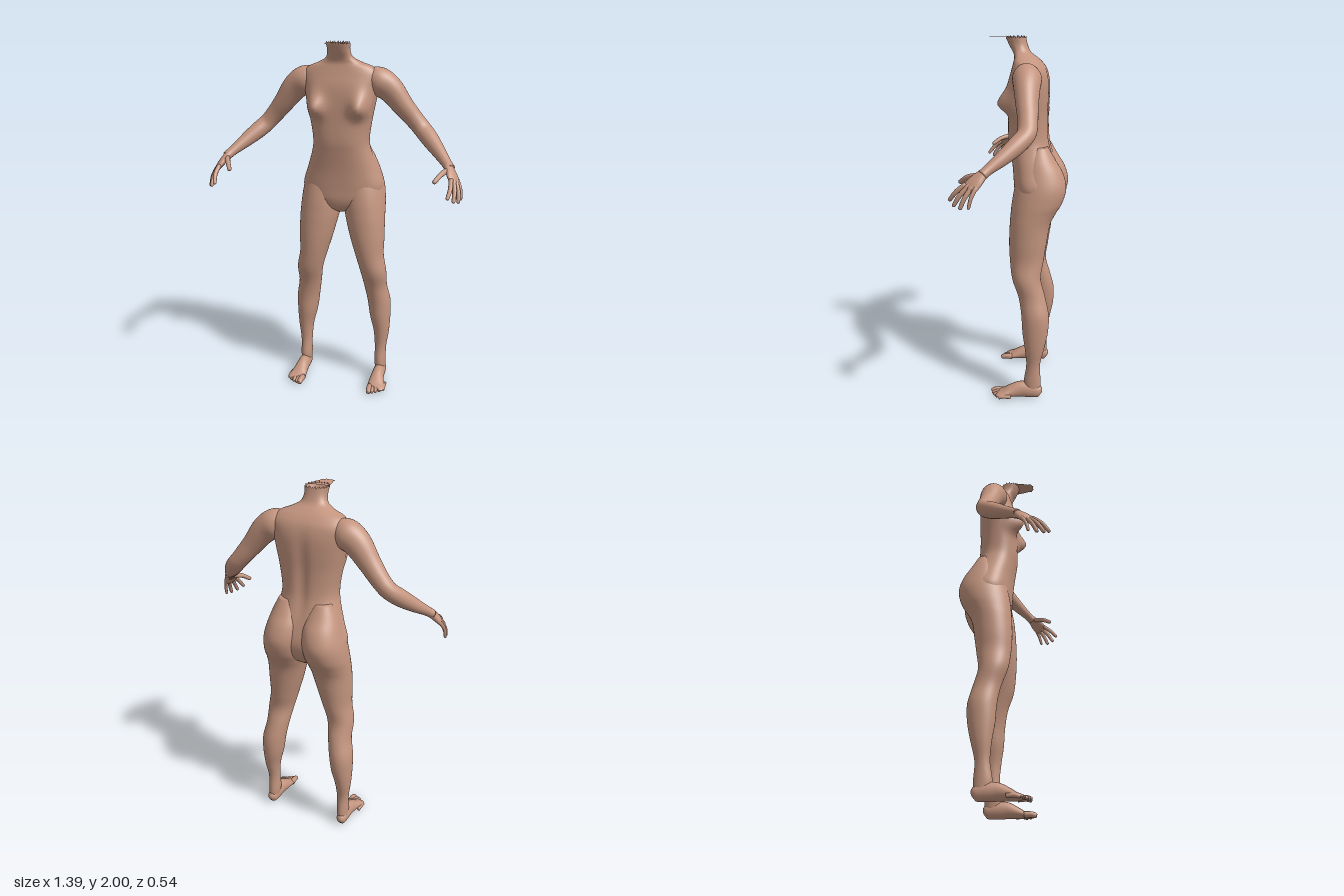
import * as THREE from 'three';

const skin = new THREE.MeshStandardMaterial({ color: 0xc4957f, side: THREE.DoubleSide });
skin.name = 'skin';

const V = (x, y, z) => new THREE.Vector3(x, y, z);

// Catmull-Rom interpolation of whole station rows
function refine(rows, sub) {
  const out = [];
  const at = i => rows[Math.max(0, Math.min(rows.length - 1, i))];
  for (let i = 0; i < rows.length - 1; i++) {
    for (let k = 0; k < sub; k++) {
      const t = k / sub;
      out.push(rows[i].map((b, c) => {
        const a = at(i - 1)[c], d = at(i + 1)[c], e = at(i + 2)[c];
        return b + 0.5 * t * (d - a + t * (2 * a - 5 * b + 4 * d - e + t * (3 * (b - d) + e - a)));
      }));
    }
  }
  out.push(rows[rows.length - 1]);
  return out;
}

// Smooth skin over closed rings of points, with optional end caps
function skinRings(rings, capStart = true, capEnd = true) {
  const n = rings[0].length, pos = [], idx = [];
  rings.forEach(r => r.forEach(p => pos.push(p.x, p.y, p.z)));
  for (let i = 0; i < rings.length - 1; i++) {
    for (let j = 0; j < n; j++) {
      const a = i * n + j, b = i * n + (j + 1) % n, c = a + n, d = b + n;
      idx.push(a, c, b, b, c, d);
    }
  }
  const cap = (row, flip) => {
    const m = rings[row].reduce((s, p) => s.add(p), V(0, 0, 0)).divideScalar(n);
    const k = pos.length / 3;
    pos.push(m.x, m.y, m.z);
    for (let j = 0; j < n; j++) {
      const a = row * n + j, b = row * n + (j + 1) % n;
      idx.push(k, flip ? a : b, flip ? b : a);
    }
  };
  if (capStart) cap(0, true);
  if (capEnd) cap(rings.length - 1, false);
  const g = new THREE.BufferGeometry();
  g.setAttribute('position', new THREE.Float32BufferAttribute(pos, 3));
  g.setIndex(idx);
  g.computeVertexNormals();
  return g;
}

// Upright loft; rows are [y, centreX, halfWidth, zFront, zBack], bottom to top
function upright(rows, seg, power, shape, capEnd = true) {
  const soft = v => Math.sign(v) * Math.pow(Math.abs(v), 2 / power);
  const rings = refine(rows, 5).map(([y, cx, rx, zf, zb], i, all) =>
    Array.from({ length: seg }, (_, j) => {
      const t = j / seg * Math.PI * 2;
      const p = V(cx + rx * soft(Math.cos(t)), y, (zf + zb) / 2 + (zf - zb) / 2 * soft(Math.sin(t)));
      if (shape) shape(p, j, i === all.length - 1);
      return p;
    }));
  return skinRings(rings, true, capEnd);
}

// Limb along a path; rows are [x, y, z, radiusAlongRef, radiusAcross]
function limb(rows, ref, seg = 24, sub = 5) {
  const pts = refine(rows, sub);
  const rings = pts.map(([x, y, z, ru, rv], i) => {
    const a = pts[Math.max(0, i - 1)], b = pts[Math.min(pts.length - 1, i + 1)];
    const T = V(b[0] - a[0], b[1] - a[1], b[2] - a[2]).normalize();
    const U = ref.clone().addScaledVector(T, -ref.dot(T)).normalize();
    const W = U.clone().cross(T);
    return Array.from({ length: seg }, (_, j) => {
      const t = j / seg * Math.PI * 2;
      return V(x, y, z).addScaledVector(U, ru * Math.cos(t)).addScaledVector(W, rv * Math.sin(t));
    });
  });
  return skinRings(rings);
}

// Finger or toe with a rounded tip, through a knuckle bend
function digit(from, bend, to, r, ref) {
  const near = bend.clone().lerp(to, 0.8);
  const row = (p, k) => [p.x, p.y, p.z, r * k, r * k];
  return limb([row(from, 1.1), row(bend, 1), row(near, 0.85), row(bend.clone().lerp(to, 0.95), 0.6), row(to, 0.12)], ref, 12, 3);
}

function mirrored(geo) {
  const g = geo.clone().scale(-1, 1, 1);
  const a = g.index.array;
  for (let i = 0; i < a.length; i += 3) [a[i], a[i + 1]] = [a[i + 1], a[i]];
  g.computeVertexNormals();
  return g;
}

export function createModel() {
  const model = new THREE.Group();
  model.name = 'bodyMannequin';
  const add = (name, geo) => {
    const m = new THREE.Mesh(geo, skin);
    m.name = name;
    model.add(m);
  };
  const pair = (name, geo) => {
    add(name + 'Left', geo);
    add(name + 'Right', mirrored(geo));
  };

  // Torso and neck, with chest relief, spine groove and a ragged open rim
  add('torso', upright([
    [1.05, 0, 0.03, -0.04, -0.14], [1.08, 0, 0.1, 0, -0.18], [1.13, 0, 0.19, 0.018, -0.215],
    [1.2, 0, 0.23, 0.022, -0.23], [1.3, 0, 0.2, 0.03, -0.21], [1.4, 0, 0.167, 0.045, -0.18],
    [1.47, 0, 0.157, 0.055, -0.167], [1.58, 0, 0.172, 0.055, -0.163], [1.68, 0, 0.192, 0.055, -0.167],
    [1.76, 0, 0.208, 0.05, -0.165], [1.82, 0, 0.213, 0.035, -0.15], [1.86, 0, 0.18, 0.025, -0.122],
    [1.885, 0, 0.12, 0.022, -0.095], [1.91, 0, 0.075, 0.03, -0.065], [1.945, 0, 0.061, 0.05, -0.048],
    [1.985, 0, 0.064, 0.068, -0.038],
  ], 72, 2.35, (p, j, rim) => {
    const ax = Math.abs(p.x), front = p.z > -0.02;
    if (front) {
      const dy = p.y - 1.645;
      p.z += 0.066 * Math.exp(-Math.pow((ax - 0.125) / 0.05, 2) - Math.pow(dy / (dy < 0 ? 0.045 : 0.075), 2));
    } else if (p.y > 1.25 && p.y < 1.85) {
      p.z += 0.014 * Math.exp(-Math.pow(ax / 0.03, 2)) * Math.sin((p.y - 1.25) / 0.6 * Math.PI);
    }
    if (rim) p.y += [0.012, 0, 0.006, -0.004][j % 4];
  }, false));

  // Ragged flap in front of the neck opening
  const flap = new THREE.Shape();
  const edge = [[-0.062, 0.03], [-0.05, 0.08], [-0.046, 0.1], [-0.038, 0.125], [-0.04, 0.145], [-0.025, 0.15], [-0.018, 0.16], [0, 0.155]];
  edge.forEach(([x, z], i) => (i ? flap.lineTo(x, -z) : flap.moveTo(x, -z)));
  edge.slice(0, -1).reverse().forEach(([x, z]) => flap.lineTo(-x, -z));
  add('neckFlap', new THREE.ShapeGeometry(flap).rotateX(-Math.PI / 2).translate(0, 1.987, 0));

  // Legs, rising into the hips and buttocks
  pair('leg', upright([
    [0.04, 0.236, 0.028, -0.07, -0.148], [0.1, 0.233, 0.033, -0.055, -0.15], [0.2, 0.233, 0.034, -0.068, -0.145],
    [0.3, 0.235, 0.045, -0.06, -0.167], [0.4, 0.226, 0.06, -0.045, -0.187], [0.5, 0.218, 0.067, -0.038, -0.19],
    [0.6, 0.2, 0.066, -0.02, -0.167], [0.7, 0.19, 0.075, 0.015, -0.142], [0.8, 0.167, 0.081, 0.03, -0.155],
    [0.9, 0.152, 0.097, 0.036, -0.17], [1, 0.138, 0.11, 0.034, -0.187], [1.06, 0.13, 0.116, 0.03, -0.215],
    [1.12, 0.123, 0.12, 0.024, -0.25], [1.2, 0.115, 0.117, 0.01, -0.27], [1.28, 0.105, 0.105, -0.01, -0.25],
    [1.35, 0.1, 0.085, -0.04, -0.208], [1.42, 0.1, 0.05, -0.08, -0.168],
  ], 40, 2.05));

  // Feet and toes
  const X = V(1, 0, 0);
  pair('foot', limb([
    [0.237, 0.035, -0.156, 0.008, 0.01], [0.237, 0.04, -0.14, 0.027, 0.036], [0.236, 0.047, -0.09, 0.034, 0.045],
    [0.236, 0.048, -0.035, 0.036, 0.046], [0.238, 0.035, 0.02, 0.043, 0.033], [0.242, 0.025, 0.055, 0.05, 0.022],
    [0.245, 0.02, 0.08, 0.05, 0.015], [0.243, 0.018, 0.095, 0.036, 0.008],
  ], X, 28));
  [0.135, 0.13, 0.12, 0.105, 0.085].forEach((tip, i) => {
    const x = 0.208 + 0.0195 * i, r = i ? 0.0105 : 0.016;
    pair('toe' + (i + 1), digit(V(x, 0.02, tip - 0.07), V(x + 0.002, 0.021, tip - 0.03), V(x + 0.004, 0.012, tip), r, X));
  });

  // Arms from inside the shoulder to the wrist
  pair('arm', limb([
    [0.14, 1.79, -0.062, 0.06, 0.05], [0.2, 1.785, -0.064, 0.078, 0.075], [0.265, 1.745, -0.07, 0.072, 0.067],
    [0.335, 1.66, -0.078, 0.058, 0.056], [0.395, 1.59, -0.088, 0.05, 0.05], [0.445, 1.535, -0.083, 0.046, 0.05],
    [0.495, 1.488, -0.04, 0.045, 0.046], [0.55, 1.437, 0.02, 0.036, 0.036], [0.595, 1.395, 0.075, 0.026, 0.028],
    [0.62, 1.37, 0.105, 0.024, 0.028],
  ], V(0, 1, 0.3), 32));

  // Hands: flattened palm, four fingers and thumb
  const across = V(-0.45, 0.15, 0.85).normalize();
  pair('palm', limb([
    [0.6, 1.392, 0.08, 0.024, 0.022], [0.618, 1.368, 0.108, 0.03, 0.021], [0.635, 1.342, 0.134, 0.04, 0.019],
    [0.648, 1.318, 0.156, 0.041, 0.015], [0.654, 1.304, 0.167, 0.03, 0.008],
  ], across, 24));
  [[0.628, 1.245, 0.265], [0.658, 1.224, 0.24], [0.68, 1.215, 0.205], [0.688, 1.22, 0.162]].forEach((tip, i) => {
    const base = V(0.648, 1.325, 0.152).addScaledVector(across, 0.03 - 0.02 * i);
    const to = V(...tip);
    const bend = base.clone().lerp(to, 0.5).add(V(0.007, 0.006, 0.004));
    pair('finger' + (i + 1), digit(base, bend, to, i === 3 ? 0.0095 : 0.0115, across));
  });
  pair('thumb', digit(V(0.608, 1.365, 0.125), V(0.582, 1.352, 0.178), V(0.552, 1.318, 0.228), 0.0135, V(0, 1, 0)));

  return model;
}
